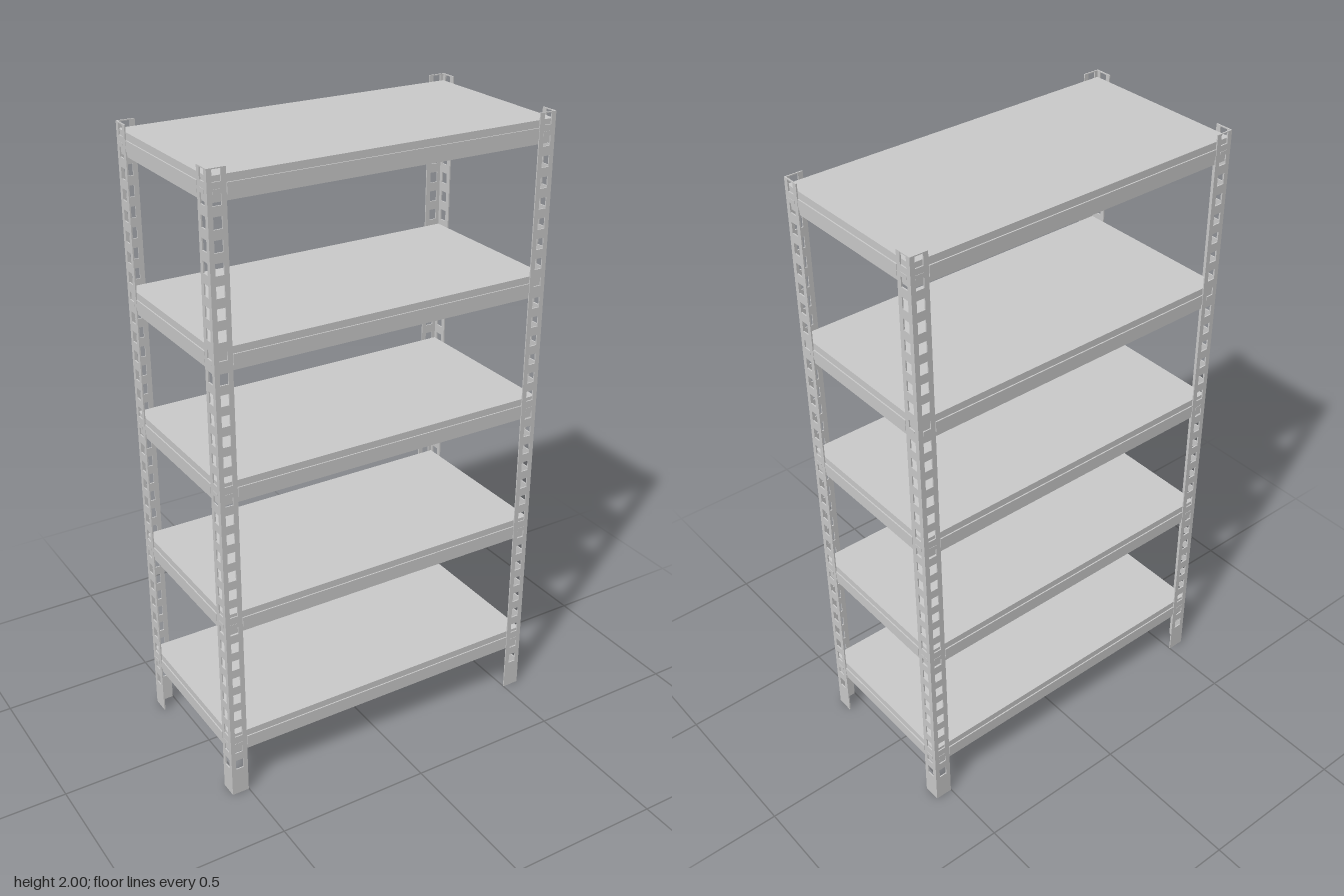
import * as THREE from 'three';

const HX = 0.557, HZ = 0.277;   // half width and half depth
const H = 2, LEG = 0.056, T = 0.004;
const SHELF_H = 0.07;
const SHELF_TOPS = [0.228, 0.665, 1.102, 1.508, 1.979];
const material = new THREE.MeshStandardMaterial({ color: 0xcccccc });

function box(name, w, h, d, x, y, z) {
  const mesh = new THREE.Mesh(new THREE.BoxGeometry(w, h, d), material);
  mesh.name = name;
  mesh.position.set(x, y, z);
  return mesh;
}

// Perforated strip, centred on x and z, standing on y = 0
function perforatedStrip() {
  const shape = new THREE.Shape();
  const rect = (path, x0, y0, x1, y1) =>
    path.moveTo(x0, y0).lineTo(x1, y0).lineTo(x1, y1).lineTo(x0, y1).closePath();
  rect(shape, -LEG / 2, 0, LEG / 2, H);
  for (let i = 0; i < 31; i++) {
    const y = 0.111 + i * 0.0623;
    const hole = new THREE.Path();
    rect(hole, -0.013, y - 0.017, 0.013, y + 0.017);
    shape.holes.push(hole);
  }
  const geometry = new THREE.ExtrudeGeometry(shape, { depth: T, bevelEnabled: false });
  return geometry.translate(0, 0, -T / 2);
}

// Angle-iron leg made of two strips meeting at the outer corner
function createLeg(strip, sx, sz) {
  const leg = new THREE.Group();
  leg.name = 'leg';
  const face = new THREE.Mesh(strip, material);
  face.name = 'legFace';
  face.position.set(sx * (HX - LEG / 2), 0, sz * (HZ - T / 2));
  const side = new THREE.Mesh(strip, material);
  side.name = 'legSide';
  side.rotation.y = Math.PI / 2;
  side.position.set(sx * (HX - T / 2), 0, sz * (HZ - LEG / 2));
  leg.add(face, side);
  return leg;
}

// Shelf deck with a raised rib on each rim and hooks seated in the leg holes
function createShelf(top) {
  const shelf = new THREE.Group();
  shelf.name = 'shelf';
  const w = 2 * (HX - T), d = 2 * (HZ - T);
  shelf.add(box('deck', w, SHELF_H, d, 0, top - SHELF_H / 2, 0));
  const ribY = top - 0.038, ribH = 0.032;
  const hookY = top - 0.041;
  for (const s of [-1, 1]) {
    shelf.add(box('longRib', 2 * (HX - LEG) - 0.004, ribH, T, 0, ribY, s * (HZ - T / 2)));
    shelf.add(box('shortRib', T, ribH, 2 * (HZ - LEG) - 0.004, s * (HX - T / 2), ribY, 0));
    for (const t of [-1, 1]) {
      shelf.add(box('hook', 0.026, 0.013, T, t * (HX - LEG / 2), hookY, s * (HZ - T / 2 + 0.001)));
      shelf.add(box('hook', T, 0.013, 0.026, s * (HX - T / 2 + 0.001), hookY, t * (HZ - LEG / 2)));
    }
  }
  return shelf;
}

export function createModel() {
  const model = new THREE.Group();
  model.name = 'shelvingRack';
  const strip = perforatedStrip();
  for (const sx of [-1, 1]) for (const sz of [-1, 1]) model.add(createLeg(strip, sx, sz));
  for (const top of SHELF_TOPS) model.add(createShelf(top));
  return model;
}
